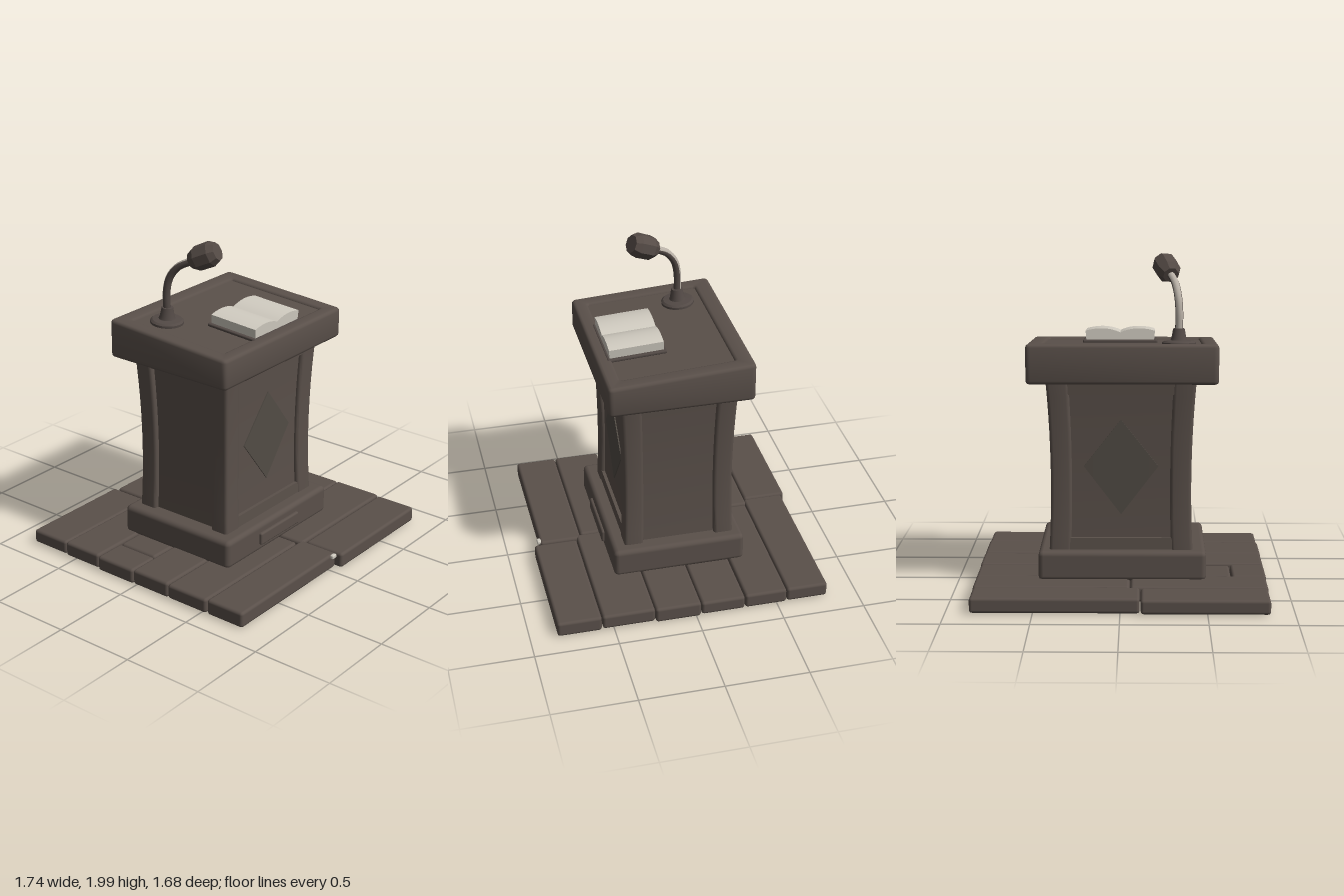
import * as THREE from 'three';
import { toCreasedNormals } from 'three/addons/utils/BufferGeometryUtils.js';
import { RoundedBoxGeometry } from 'three/addons/geometries/RoundedBoxGeometry.js';

const mat = (name, color, extra = {}) => {
  const m = new THREE.MeshStandardMaterial({ color, ...extra });
  m.name = name;
  return m;
};

// Applies a rule to every vertex, then keeps only the hard edges sharp
function reshape(geo, rule) {
  const p = geo.attributes.position, v = new THREE.Vector3();
  for (let i = 0; i < p.count; i++) {
    rule(v.fromBufferAttribute(p, i));
    p.setXYZ(i, v.x, v.y, v.z);
  }
  return toCreasedNormals(geo, 0.6);
}

// Slight waist of the pedestal, flaring towards the top
const waist = v => {
  const f = 1 + 0.06 * ((v.y - 0.65) / 0.6) ** 2;
  v.x *= f;
  v.z *= f;
};

// Slope of the reading desk, low at the front
const SLOPE = 0.06;
const slope = v => { if (v.y > 1.36) v.y -= SLOPE * v.z; };

function roundedRect(Type, x0, x1, y0, y1, r) {
  const s = new Type();
  s.moveTo(x0 + r, y0).lineTo(x1 - r, y0).quadraticCurveTo(x1, y0, x1, y0 + r);
  s.lineTo(x1, y1 - r).quadraticCurveTo(x1, y1, x1 - r, y1);
  s.lineTo(x0 + r, y1).quadraticCurveTo(x0, y1, x0, y1 - r);
  s.lineTo(x0, y0 + r).quadraticCurveTo(x0, y0, x0 + r, y0);
  return s;
}

export function createModel() {
  const model = new THREE.Group();
  model.name = 'lectern';
  const wood = mat('dark wood', 0x5a504a);
  const inlay = mat('inlay wood', 0x524c45);
  const dark = mat('dark metal', 0x524945);
  const facet = mat('microphone foam', 0x554b46, { flatShading: true });
  const pale = mat('worn metal', 0xb8b0a6);
  const paper = mat('paper', 0xd0cbc0);

  const add = (name, geo, material, parent = model) => {
    const m = new THREE.Mesh(geo, material);
    m.name = name;
    parent.add(m);
    return m;
  };
  const block = (name, x0, x1, y0, y1, z0, z1, r, material = wood, parent = model) => {
    const m = add(name, new RoundedBoxGeometry(x1 - x0, y1 - y0, z1 - z0, 2, r), material, parent);
    m.position.set((x0 + x1) / 2, (y0 + y1) / 2, (z0 + z1) / 2);
    return m;
  };

  // Plank floor: six rows, each cut once, with uneven ends
  let seed = 7;
  const rand = () => (seed = (seed * 16807) % 2147483647) / 2147483647;
  const floor = new THREE.Group();
  floor.name = 'plankFloor';
  model.add(floor);
  const leftEdges = [-0.84, -0.57, -0.3, -0.02, 0.25, 0.54, 0.8];
  const rightEdges = [-0.815, -0.56, -0.3, -0.03, 0.25, 0.57, 0.84];
  const joints = [-0.115, -0.055, -0.66, 0.3, 0.02, 0.06];
  joints.forEach((j, i) => {
    const low = () => 0.004 + rand() * 0.012, high = () => 0.098 + rand() * 0.009;
    const end = () => 0.858 + rand() * 0.012;
    block('plank', -end(), j - 0.003, low(), high(), leftEdges[i] + 0.002, leftEdges[i + 1] - 0.002, 0.018, wood, floor);
    block('plank', j + 0.003, end(), low(), high(), rightEdges[i] + 0.002, rightEdges[i + 1] - 0.002, 0.018, wood, floor);
  });
  block('paleChip', 0.005, 0.045, 0.08, 0.106, 0.79, 0.815, 0.008, paper, floor);

  // Plinth with a small plaque
  block('plinth', -0.505, 0.49, 0.09, 0.27, -0.395, 0.415, 0.03);
  block('plaque', -0.2, 0.18, 0.135, 0.215, 0.40, 0.432, 0.012);

  // Pedestal core forms the sunken panels
  const core = new THREE.BoxGeometry(0.77, 1.04, 0.61, 1, 10, 1).translate(0, 0.77, 0);
  add('pedestalPanels', reshape(core, waist), wood);

  // Corner posts
  for (const sx of [-1, 1]) for (const sz of [-1, 1]) {
    const s = roundedRect(THREE.Shape, -0.0625, 0.0625, -0.0575, 0.0575, 0.02);
    const g = new THREE.ExtrudeGeometry(s, { depth: 1.04, steps: 10, bevelEnabled: false, curveSegments: 3 });
    g.rotateX(-Math.PI / 2).translate(sx * 0.3525, 0.25, sz * 0.2725);
    add('cornerPost', reshape(g, waist), wood);
  }

  // Rails between the posts, and diamond inlays on front and back
  for (const turn of [0, Math.PI]) {
    for (const [y, h] of [[1.24, 0.08], [0.3, 0.08]]) {
      const g = new THREE.BoxGeometry(0.62, h, 0.04).translate(0, y, 0.305).rotateY(turn);
      add('frontRail', reshape(g, waist), wood);
    }
    const side = new THREE.BoxGeometry(0.04, 0.08, 0.46).translate(0.39, 1.24, 0).rotateY(turn);
    add('sideRail', reshape(side, waist), wood);
    const d = new THREE.Shape();
    d.moveTo(0, 0.48).lineTo(0.22, 0.77).lineTo(0, 1.05).lineTo(-0.22, 0.77).closePath();
    const g = new THREE.ExtrudeGeometry(d, { depth: 0.009, bevelEnabled: false });
    g.translate(0, 0, 0.302).rotateY(turn);
    add('diamondInlay', reshape(g, waist), inlay);
  }

  // Sloping desk: a thick bevelled frame around a sunken tray (shape y runs towards the back)
  const rim = roundedRect(THREE.Shape, -0.57, 0.555, -0.445, 0.42, 0.03);
  rim.holes.push(roundedRect(THREE.Path, -0.475, 0.455, -0.355, 0.315, 0.01));
  const b = 0.02;
  const frame = new THREE.ExtrudeGeometry(rim, {
    depth: 0.21 - 2 * b, bevelSize: b, bevelOffset: -b, bevelThickness: b, bevelSegments: 3, curveSegments: 4,
  });
  frame.rotateX(-Math.PI / 2).translate(0, 1.27 + b, 0);
  add('deskFrame', reshape(frame, slope), wood);
  const tray = new THREE.BoxGeometry(0.97, 0.19, 0.71).translate(-0.01, 1.371, 0.02);
  add('deskTray', reshape(tray, slope), wood);

  // Open book lying on the slope
  const book = new THREE.Group();
  book.name = 'openBook';
  book.position.set(0.01, 1.453, 0.205);
  book.rotation.x = Math.atan(SLOPE);
  model.add(book);
  block('bookCover', -0.225, 0.225, -0.002, 0.018, -0.177, 0.177, 0.008, dark, book);
  const page = new THREE.Shape();
  page.moveTo(-0.205, 0.016).lineTo(0.205, 0.016).lineTo(0.21, 0.072);
  page.bezierCurveTo(0.15, 0.09, 0.07, 0.095, 0, 0.062);
  page.bezierCurveTo(-0.07, 0.095, -0.15, 0.09, -0.21, 0.072);
  const pages = new THREE.ExtrudeGeometry(page, { depth: 0.325, bevelEnabled: false, curveSegments: 10 });
  add('pages', toCreasedNormals(pages.translate(0, 0, -0.1625), 0.3), paper, book);

  // Microphone foot
  const lathe = (pts, n) => new THREE.LatheGeometry(pts.map(p => new THREE.Vector2(...p)), n);
  const foot = lathe([[0, 0], [0.1, 0], [0.1, 0.022], [0.088, 0.032], [0.05, 0.036], [0.044, 0.05], [0.034, 0.105], [0, 0.105]], 20);
  const footMesh = add('microphoneFoot', toCreasedNormals(foot, 0.5), dark);
  footMesh.position.set(-0.34, 1.468, -0.175);
  footMesh.rotation.x = Math.atan(SLOPE);

  // Gooseneck, worn pale along its upper back side
  const path = new THREE.CatmullRomCurve3([
    [-0.34, 1.55, -0.172], [-0.342, 1.67, -0.172], [-0.335, 1.76, -0.152], [-0.32, 1.83, -0.1], [-0.295, 1.875, -0.02],
  ].map(p => new THREE.Vector3(...p)));
  const neck = new THREE.TubeGeometry(path, 24, 0.023, 12).toNonIndexed();
  const worn = new THREE.Vector3(-0.35, 0.5, -0.8).normalize(), n = new THREE.Vector3();
  for (let i = 0; i < neck.attributes.position.count; i += 3) {
    n.fromBufferAttribute(neck.attributes.normal, i);
    neck.addGroup(i, 3, n.dot(worn) > 0.45 ? 1 : 0);
  }
  add('gooseneck', neck, [dark, pale]);

  // Faceted microphone head
  const head = add('microphoneHead', lathe(
    [[0, -0.095], [0.048, -0.095], [0.074, -0.05], [0.076, 0.045], [0.055, 0.085], [0, 0.085]], 8), facet);
  head.position.set(-0.268, 1.915, 0.058);
  head.quaternion.setFromUnitVectors(new THREE.Vector3(0, 1, 0), new THREE.Vector3(0.27, 0.41, 0.87).normalize());

  return model;
}
